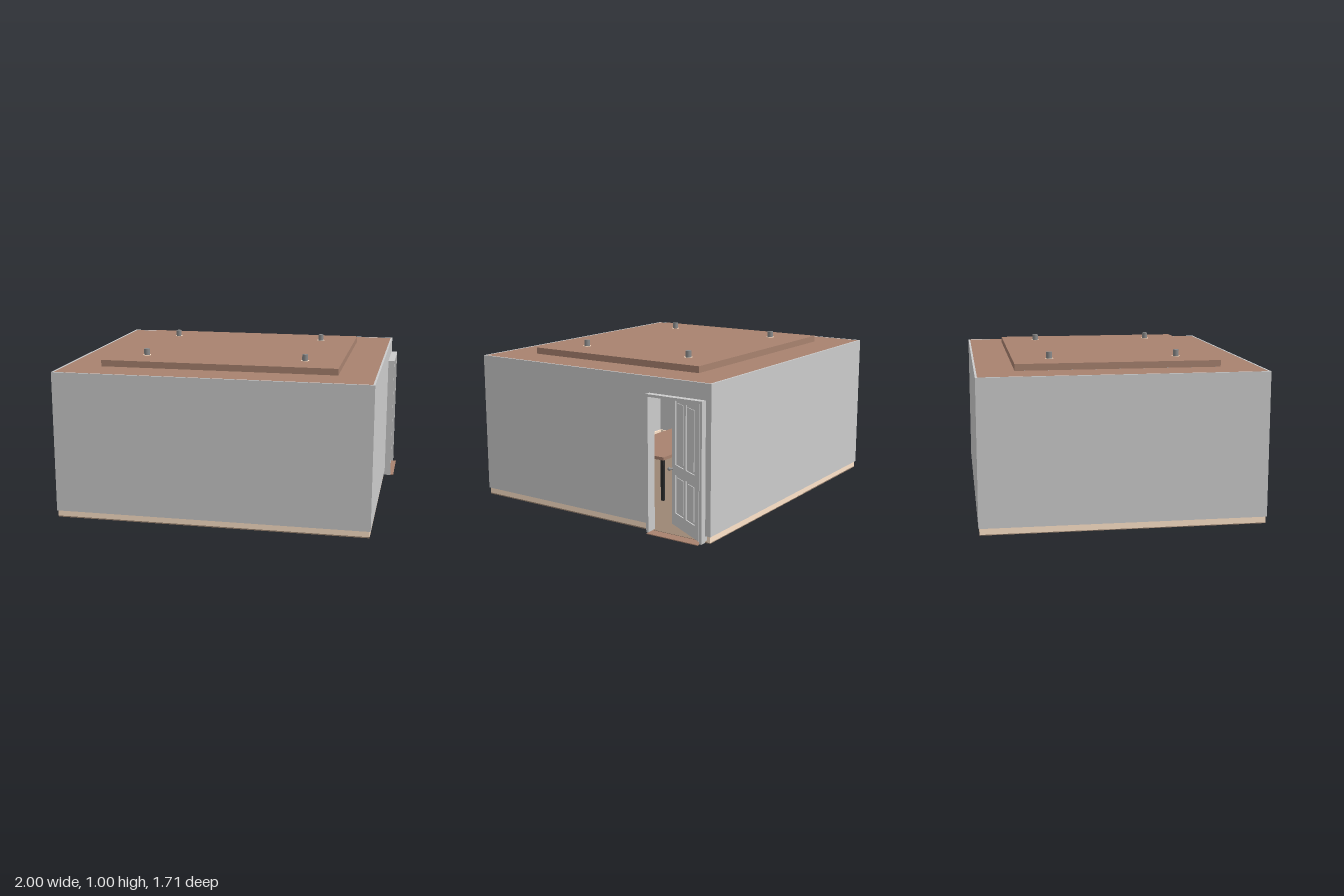
import * as THREE from 'three';

const mat = (color) => new THREE.MeshStandardMaterial({ color, side: THREE.DoubleSide });

export function createModel() {
  const room = new THREE.Group();
  room.name = 'room';
  const grey = mat(0xcccccc), brown = mat(0xa8826f), tan = mat(0xffe4ca);
  const floorBrown = mat(0x9c8674), dark = mat(0x2a2a2a), metal = mat(0x8a8a8a);

  const add = (name, geo, material, parent = room) => {
    const mesh = new THREE.Mesh(geo, material);
    mesh.name = name;
    parent.add(mesh);
    return mesh;
  };
  // Box given by its lowest and highest corner
  const box = (name, a, b, material, parent) => {
    const mesh = add(name, new THREE.BoxGeometry(b[0] - a[0], b[1] - a[1], b[2] - a[2]), material, parent);
    mesh.position.set((a[0] + b[0]) / 2, (a[1] + b[1]) / 2, (a[2] + b[2]) / 2);
    return mesh;
  };
  const rect = (x0, y0, x1, y1, Type = THREE.Shape) => new Type([
    new THREE.Vector2(x0, y0), new THREE.Vector2(x1, y0), new THREE.Vector2(x1, y1), new THREE.Vector2(x0, y1)]);
  const plate = (outline, holes, depth) => {
    outline.holes = holes;
    return new THREE.ExtrudeGeometry(outline, { depth, bevelEnabled: false });
  };
  // Plate drawn in (z, y), its outer face at x and its thickness going inward
  const sidePlate = (name, geo, x, material) => {
    const mesh = add(name, geo, material);
    mesh.rotation.y = -Math.PI / 2;
    mesh.position.x = x;
  };
  const poly = (pts) => new THREE.Shape(pts.map(([x, y]) => new THREE.Vector2(x, y)));

  // Room shell
  const L = -1, R = 0.94, Z = 0.855, LOW = 0.045, TOP = 0.92, T = 0.012;
  const doorBack = -0.805, doorFront = -0.455, doorTop = 0.81;
  box('frontWall', [L, LOW, Z - T], [R, TOP, Z], grey);
  box('backWall', [L, LOW, -Z], [R, TOP, -Z + T], grey);
  box('leftWall', [L, LOW, -Z + T], [L + T, TOP, Z - T], grey);
  sidePlate('doorWall', plate(poly([[-Z + T, LOW], [doorBack, LOW], [doorBack, doorTop], [doorFront, doorTop],
    [doorFront, LOW], [Z - T, LOW], [Z - T, TOP], [-Z + T, TOP]]), [], T), R, grey);
  box('floor', [L + 0.007, 0.003, -Z + 0.006], [R - 0.006, 0.01, Z - 0.006], floorBrown);
  box('threshold', [R - 0.006, 0.003, doorBack], [1, 0.008, doorFront], brown);

  // Skirting, broken at the doorway
  const s = 0.006, w = 0.02;
  for (const side of [-1, 1]) {
    const z = side * (Z - s - w / 2);
    box('skirting', [L + s, 0.008, z - w / 2], [R - s, 0.05, z + w / 2], tan);
  }
  box('skirting', [L + s, 0.008, -Z + s + w], [L + s + w, 0.05, Z - s - w], tan);
  box('skirting', [R - s - w, 0.008, doorFront + 0.012], [R - s, 0.05, Z - s - w], tan);

  // Ceiling with a raised tray
  const tx0 = -0.765, tx1 = 0.705, tz0 = -0.62, tz1 = 0.615, trayTop = 0.96, t = 0.006;
  const ceiling = add('ceiling', plate(rect(L + 0.007, -Z + 0.007, R - 0.007, Z - 0.007),
    [rect(tx0 + t, tz0 + t, tx1 - t, tz1 - t, THREE.Path)], t), brown);
  ceiling.rotation.x = Math.PI / 2;
  ceiling.position.y = TOP - 0.001;
  const traySides = add('traySides', plate(rect(tx0, tz0, tx1, tz1),
    [rect(tx0 + t, tz0 + t, tx1 - t, tz1 - t, THREE.Path)], trayTop - TOP), brown);
  traySides.rotation.x = Math.PI / 2;
  traySides.position.y = trayTop;
  box('trayTop', [tx0 + t, trayTop - t, tz0 + t], [tx1 - t, trayTop, tz1 - t], brown);

  // Recessed lights
  for (const x of [-0.537, 0.475]) for (const z of [-0.395, 0.39]) {
    const lamp = new THREE.Group();
    lamp.name = 'downlight';
    lamp.position.set(x, trayTop, z);
    room.add(lamp);
    add('lampCan', new THREE.CylinderGeometry(0.018, 0.018, 0.04, 24), metal, lamp).position.y = 0.02;
    add('lampRim', new THREE.CylinderGeometry(0.026, 0.026, 0.003, 24), tan, lamp).position.y = 0;
    add('lampGlass', new THREE.CylinderGeometry(0.014, 0.014, 0.004, 24), grey, lamp).position.y = -t - 0.002;
  }

  // Door frame: inner lining and projecting casing
  const frame = (zb, zf, y) => poly([[zb, 0.006], [doorBack, 0.006], [doorBack, doorTop],
    [doorFront, doorTop], [doorFront, 0.006], [zf, 0.006], [zf, y], [zb, y]]);
  sidePlate('doorCasing', plate(frame(-0.82, -0.44, 0.825), [], 0.04), 0.98, grey);
  sidePlate('doorLining', plate(frame(-0.815, -0.445, 0.82), [], 0.03), 0.945, grey);

  // Four-panel door, standing ajar into the room
  const door = new THREE.Group();
  door.name = 'door';
  door.position.set(0.95, 0, -0.795);
  door.rotation.y = -Math.PI * 2 / 3;
  room.add(door);
  const panels = [];
  for (const [x0, x1] of [[0.054, 0.165], [0.192, 0.303]])
    for (const [y0, y1] of [[0.09, 0.325], [0.385, 0.77]]) panels.push([x0, y0, x1, y1]);
  const D = 0.024;
  add('doorLeaf', plate(rect(0, 0.012, 0.345, 0.806),
    panels.map((p) => rect(...p, THREE.Path)), D), grey, door).position.z = -D / 2;
  for (const [x0, y0, x1, y1] of panels) {
    box('doorPanel', [x0, y0, -0.004], [x1, y1, 0.004], grey, door);
    box('raisedPanel', [x0 + 0.015, y0 + 0.015, -0.009], [x1 - 0.015, y1 - 0.015, 0.009], grey, door);
  }
  for (const side of [-1, 1]) {
    const stem = add('knobStem', new THREE.CylinderGeometry(0.005, 0.005, 0.025, 12), metal, door);
    stem.rotation.x = Math.PI / 2;
    stem.position.set(0.335, 0.355, side * 0.02);
    add('doorKnob', new THREE.SphereGeometry(0.011, 16, 12), metal, door).position.set(0.335, 0.355, side * 0.035);
  }

  // Low cabinet against the far wall
  box('cabinetBody', [-0.96, 0.01, -0.65], [-0.7, 0.3, -0.1], grey);
  box('cabinetTop', [-0.965, 0.3, -0.655], [-0.695, 0.31, -0.095], dark);

  // Small table, its feet set into the floor
  box('tableTop', [-0.28, 0.28, -0.2], [0.46, 0.3, 0.2], brown);
  for (const x of [-0.26, 0.44]) for (const z of [-0.18, 0.18])
    box('tableLeg', [x - 0.01, 0, z - 0.01], [x + 0.01, 0.28, z + 0.01], dark);

  return room;
}
